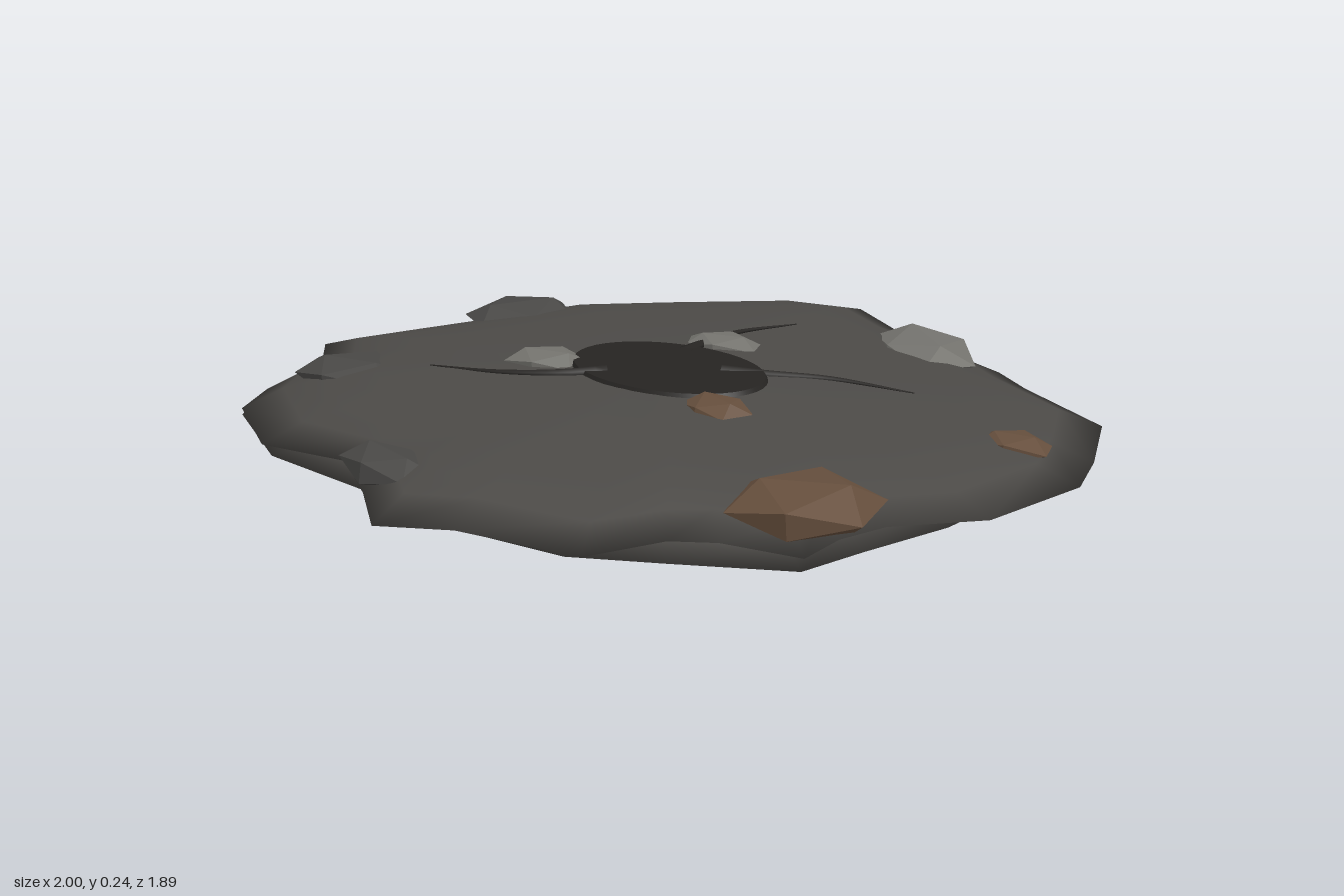
import * as THREE from 'three';

const mat = (color, flatShading = false) => new THREE.MeshStandardMaterial({ color, flatShading, roughness: 1 });

// Closed slab: an [x, z, rim height] outline scaled through [scale, height] rings, top centre to bottom centre
function slab(name, outline, profile, color) {
  const pos = [], idx = [], n = outline.length;
  const rim = profile.find(([s]) => s === 1)[1];
  profile.forEach(([s, y]) => outline.forEach(([x, z, rimY = rim]) => {
    pos.push(x * s, y + (rimY - rim) * s ** 8, z * s);
  }));
  for (let i = 0; i < profile.length - 1; i++) {
    for (let j = 0; j < n; j++) {
      const k = (j + 1) % n;
      const a = i * n + j, b = i * n + k, c = a + n, d = b + n;
      if (i > 0) idx.push(a, b, d);
      if (i < profile.length - 2) idx.push(a, d, c);
      else idx.push(a, b, c);
    }
  }
  const g = new THREE.BufferGeometry();
  g.setAttribute('position', new THREE.Float32BufferAttribute(pos, 3));
  g.setIndex(idx);
  g.computeVertexNormals();
  const mesh = new THREE.Mesh(g, mat(color));
  mesh.name = name;
  return mesh;
}

// Flattened faceted stone with rule-based irregularity
function rock([x, y, z, rx, ry, rz, turn, color], i) {
  const g = new THREE.IcosahedronGeometry(1, 0);
  const p = g.attributes.position, v = new THREE.Vector3();
  for (let k = 0; k < p.count; k++) {
    v.fromBufferAttribute(p, k);
    v.multiplyScalar(1.08 + 0.1 * Math.sin(v.x * 5 + v.y * 7 + v.z * 3 + i * 2));
    p.setXYZ(k, v.x * rx, v.y * ry, v.z * rz);
  }
  g.computeVertexNormals();
  const mesh = new THREE.Mesh(g, mat(color, true));
  mesh.position.set(x, y, z);
  mesh.rotation.y = turn;
  mesh.name = 'rock' + (i + 1);
  return mesh;
}

// Tapering curved crack lying on the surface
function crack(points, i) {
  const curve = new THREE.CatmullRomCurve3(points.map(p => new THREE.Vector3(...p)));
  const rings = 16, sides = 6;
  const g = new THREE.TubeGeometry(curve, rings, 0.02, sides);
  const p = g.attributes.position, v = new THREE.Vector3();
  for (let k = 0; k < p.count; k++) {
    const t = Math.floor(k / (sides + 1)) / rings;
    const c = curve.getPointAt(t);
    v.fromBufferAttribute(p, k).sub(c).multiplyScalar(1 - 0.9 * t);
    p.setXYZ(k, c.x + v.x, c.y + v.y * 0.6, c.z + v.z);
  }
  g.computeVertexNormals();
  const mesh = new THREE.Mesh(g, mat(0x262422));
  mesh.name = 'crack' + (i + 1);
  return mesh;
}

export function createModel() {
  const model = new THREE.Group();
  model.name = 'craterMound';
  const earth = 0x4c4a47;

  // Upper ground with a ragged rim
  const upper = [
    [-0.33, -0.91, 0.13], [-0.16, -0.95, 0.135], [0.02, -0.86, 0.13], [0.22, -0.81], [0.4, -0.75],
    [0.52, -0.68], [0.81, -0.55], [0.93, -0.32], [1, -0.15, 0.125], [0.96, 0.13], [0.82, 0.3],
    [0.79, 0.42], [0.77, 0.51, 0.1], [0.6, 0.57, 0.11], [0.53, 0.65], [0.44, 0.81, 0.11],
    [0.14, 0.86, 0.11], [-0.02, 0.94, 0.105], [-0.17, 0.82, 0.11], [-0.33, 0.72], [-0.6, 0.72, 0.1],
    [-0.86, 0.55, 0.09], [-0.94, 0.4, 0.085], [-0.92, 0.24, 0.11], [-1, 0.15, 0.13],
    [-0.94, -0.03, 0.125], [-0.87, -0.23], [-0.77, -0.51], [-0.58, -0.7],
  ];
  model.add(slab('upperGround', upper, [
    [0, 0.222], [0.3, 0.214], [0.5, 0.204], [0.68, 0.191], [0.8, 0.178], [0.9, 0.157],
    [1, 0.12], [0.86, 0.078], [0.6, 0.04], [0, 0.02],
  ], earth));

  // Underside slab, showing past the rim in places
  const lower = [
    [-0.32, -0.87], [-0.1, -0.86], [0.12, -0.89], [0.37, -0.76], [0.6, -0.62], [0.78, -0.42],
    [0.85, -0.15], [0.85, 0.12], [0.8, 0.35], [0.77, 0.52], [0.53, 0.66], [0.35, 0.76],
    [0.05, 0.79], [-0.25, 0.74], [-0.58, 0.71], [-0.86, 0.55], [-0.94, 0.4], [-0.92, 0.12],
    [-0.88, -0.15], [-0.75, -0.49], [-0.56, -0.69],
  ];
  model.add(slab('lowerGround', lower, [
    [0, 0.14], [0.7, 0.125], [0.9, 0.1], [1, 0.075], [0.85, 0.046],
    [0.6, 0.02], [0.35, 0.007], [0, 0],
  ], earth));

  // Dark oval pit in the middle
  const pit = new THREE.Mesh(new THREE.CylinderGeometry(0.96, 1, 0.016, 40), mat(0x262422));
  pit.scale.set(0.26, 1, 0.18);
  pit.position.set(-0.02, 0.217, -0.01);
  pit.name = 'pit';
  model.add(pit);

  // Cracks running out of the pit
  [
    [[-0.08, 0.221, -0.14], [-0.1, 0.216, -0.25], [-0.105, 0.211, -0.38], [-0.06, 0.202, -0.545]],
    [[0.08, 0.221, -0.08], [0.17, 0.217, -0.13], [0.3, 0.212, -0.21], [0.49, 0.203, -0.265]],
    [[-0.12, 0.221, 0.09], [-0.2, 0.217, 0.17], [-0.33, 0.21, 0.235], [-0.51, 0.2, 0.272]],
  ].forEach((c, i) => model.add(crack(c, i)));

  // Scattered stones: x, y, z, radii, turn, colour
  const brown = 0x664f3d, pale = 0x74736e, dark = 0x494846;
  [
    [0.67, 0.153, 0.385, 0.165, 0.058, 0.155, 0.4, brown],
    [0.8, 0.163, -0.2, 0.09, 0.03, 0.065, 0.2, brown],
    [0.235, 0.208, 0.125, 0.085, 0.028, 0.07, -0.3, brown],
    [-0.3, 0.21, 0.1, 0.1, 0.028, 0.075, 0.2, pale],
    [-0.07, 0.21, -0.27, 0.1, 0.028, 0.065, 0.3, pale],
    [0.255, 0.17, -0.65, 0.165, 0.042, 0.115, -0.6, pale],
    [-0.74, 0.158, -0.285, 0.14, 0.037, 0.115, 1.1, dark],
    [-0.71, 0.158, 0.34, 0.14, 0.04, 0.115, 0.2, dark],
    [-0.18, 0.145, 0.73, 0.13, 0.04, 0.08, -0.2, dark],
  ].forEach((r, i) => model.add(rock(r, i)));

  return model;
}
